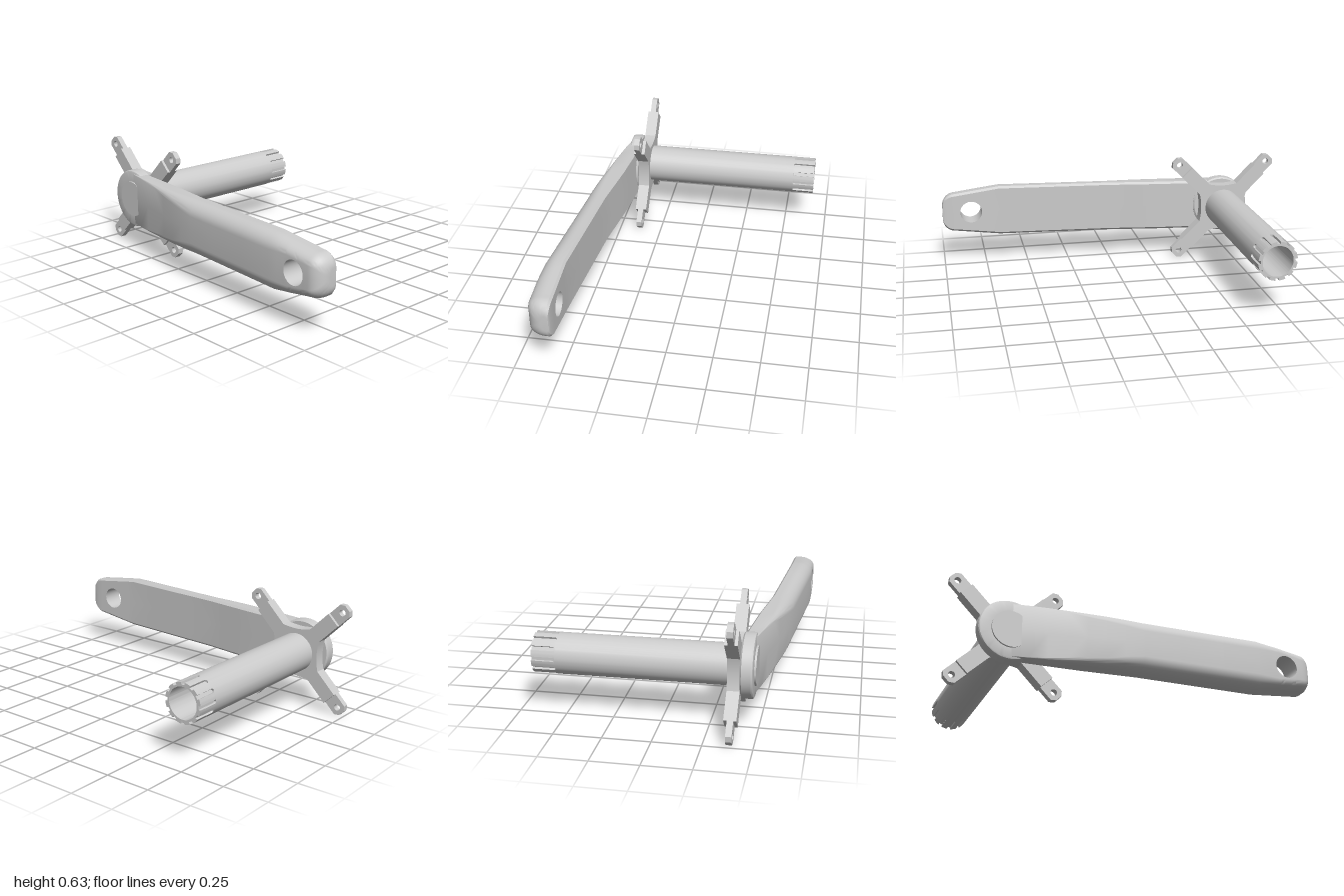
import * as THREE from 'three';
import { toCreasedNormals } from 'three/addons/utils/BufferGeometryUtils.js';

const material = new THREE.MeshStandardMaterial({ color: 0xcccccc });
const AXIS = { x: -0.69, y: 0.3125 };
const HOLE = { x: 0.83, r: 0.065 };

// Piecewise linear lookup through [x, value] pairs
function lerpTable(table, x) {
  for (let i = 1; i < table.length; i++) {
    const [x0, v0] = table[i - 1], [x1, v1] = table[i];
    if (x <= x1) return v0 + (v1 - v0) * (x - x0) / (x1 - x0);
  }
  return table[table.length - 1][1];
}

// Skin a list of equal-length cross-sections
function loft(sections, flip = false) {
  const pos = [];
  const tri = (a, b, c) => {
    if (new THREE.Triangle(a, b, c).getArea() < 1e-9) return;
    for (const p of flip ? [a, c, b] : [a, b, c]) pos.push(p.x, p.y, p.z);
  };
  for (let i = 0; i < sections.length - 1; i++) {
    const s = sections[i], t = sections[i + 1];
    for (let j = 0; j < s.length - 1; j++) {
      tri(s[j], t[j], s[j + 1]);
      tri(t[j], t[j + 1], s[j + 1]);
    }
  }
  const geo = new THREE.BufferGeometry();
  geo.setAttribute('position', new THREE.Float32BufferAttribute(pos, 3));
  return toCreasedNormals(geo, 0.5);
}

function mesh(name, geo, mat = material) {
  const m = new THREE.Mesh(geo, mat);
  m.name = name;
  return m;
}

// Upper or lower half of one crank section: front face, fillet, edge, back face
function armSection(x, side) {
  const t = Math.max(0, (x - 0.925) / 0.075);
  const e = Math.sqrt(Math.max(0, 1 - t * t));
  const H = t > 0 ? 0.045 + 0.07 * e : lerpTable([[-0.69, 0.15], [0.66, 0.15], [0.925, 0.115]], x);
  const zf = t > 0 ? 0.585 + 0.075 * e
    : lerpTable([[-0.69, 0.473], [-0.6, 0.492], [-0.2, 0.575], [-0.1, 0.592], [0, 0.605], [0.66, 0.66], [1, 0.66]], x);
  const zb = t > 0 ? 0.545 - 0.01 * e
    : lerpTable([[-0.69, 0.412], [-0.6, 0.414], [-0.3, 0.444], [0, 0.485], [0.66, 0.535], [1, 0.535]], x);
  const h = Math.sqrt(Math.max(0, HOLE.r ** 2 - (x - HOLE.x) ** 2));
  const grow = THREE.MathUtils.clamp((x + 0.6) / 0.6, 0.05, 1) ** 1.2;
  const ry = Math.min(grow * lerpTable([[-1, 0.075], [0.66, 0.075], [0.78, 0.055], [1, 0.055]], x), H * 0.75);
  const rz = Math.min(grow * 0.08, (zf - zb) * 0.65);
  const pts = [[h, zf]];
  for (let k = 0; k <= 10; k++) {
    const a = k / 10 * Math.PI / 2;
    pts.push([H - ry + ry * Math.sin(a), zf - rz + rz * Math.cos(a)]);
  }
  pts.push([H, zb + 0.012], [H - 0.012, zb], [h, zb]);
  return pts.map(([y, z]) => new THREE.Vector3(x, AXIS.y + side * y, z));
}

function crankArm() {
  const g = new THREE.Group();
  g.name = 'crankArm';
  const xs = [-0.69, -0.6, -0.5, -0.4, -0.3, -0.2, -0.1, 0, 0.2, 0.45, 0.66, 0.72];
  for (let i = 0; i <= 20; i++) xs.push(HOLE.x - HOLE.r * Math.cos(i / 20 * Math.PI));
  for (let i = 0; i <= 10; i++) xs.push(0.925 + 0.075 * Math.sin(i / 10 * Math.PI / 2));
  for (const side of [1, -1]) {
    const sections = xs.map((x) => armSection(x, side));
    // flat tip closes on the centre line
    sections.push(sections[sections.length - 1].map((p) => new THREE.Vector3(p.x, AXIS.y, p.z)));
    g.add(mesh(side > 0 ? 'armUpperHalf' : 'armLowerHalf', loft(sections, side < 0)));
  }
  // Wall of the pedal hole, matching the sloped faces
  const wall = new THREE.CylinderGeometry(HOLE.r, HOLE.r, 0.125, 40, 1, true);
  wall.rotateX(Math.PI / 2).translate(HOLE.x, AXIS.y, 0.5975);
  const inside = material.clone();
  inside.side = THREE.DoubleSide;
  g.add(mesh('pedalHole', wall, inside));
  return g;
}

// Hollow axle with twelve round-ended spline grooves
function axle() {
  const R = 0.108, bore = 0.085, depth = 0.012, count = 12, W = 0.1;
  const ring = (z, w, r = R, d = depth) => {
    const pts = [];
    for (let k = 0; k < count; k++) {
      const c = k / count * Math.PI * 2, step = Math.PI * 2 / count;
      const add = (a, rad) => pts.push(new THREE.Vector3(rad * Math.cos(a), rad * Math.sin(a), z));
      add(c - w, r);
      add(c - w, r - d);
      add(c + w, r - d);
      add(c + w, r);
      for (let j = 1; j <= 4; j++) add(c + w + (step - 2 * w) * j / 5, r);
    }
    pts.push(pts[0].clone());
    return pts;
  };
  const sections = [ring(0.42, 0, R, 0), ring(-0.54, 0, R, 0)];
  for (let i = 0; i <= 6; i++) {
    const a = i / 6 * Math.PI / 2;
    sections.push(ring(-0.54 - 0.011 * (1 - Math.cos(a)), W * Math.sin(a)));
  }
  sections.push(ring(-0.665, W), ring(-0.665, W, bore, 0), ring(0.4, W, bore, 0), ring(0.4, W, 0, 0));
  return mesh('axle', loft(sections));
}

// Four-armed spider with a curved web between arms
function spider() {
  const g = new THREE.Group();
  g.name = 'spider';
  const w = 0.0425, shape = new THREE.Shape();
  const at = (ang, u, v) => [u * Math.cos(ang) - v * Math.sin(ang), u * Math.sin(ang) + v * Math.cos(ang)];
  for (let i = 0; i < 4; i++) {
    const a = Math.PI / 4 + i * Math.PI / 2;
    if (i === 0) shape.moveTo(...at(a, 0.163, -w));
    shape.lineTo(...at(a, 0.318, -w));
    shape.lineTo(...at(a, 0.318, w));
    shape.lineTo(...at(a, 0.163, w));
    const mid = a + Math.PI / 4;
    shape.quadraticCurveTo(...at(mid, 0.125, 0), ...at(a + Math.PI / 2, 0.163, -w));
  }
  const body = new THREE.ExtrudeGeometry(shape, { depth: 0.065, bevelEnabled: false, curveSegments: 12 });
  g.add(mesh('spiderBody', toCreasedNormals(body.translate(0, 0, 0.346), 0.5)));

  // Thin chamfered bolt tabs
  const tab = new THREE.Shape([[0.316, -w], [0.4, -w], [0.42, -0.02], [0.42, 0.02], [0.4, w], [0.316, w]]
    .map(([x, y]) => new THREE.Vector2(x, y)));
  tab.holes.push(new THREE.Path().absarc(0.381, 0, 0.018, 0, Math.PI * 2, true));
  const tabGeo = toCreasedNormals(
    new THREE.ExtrudeGeometry(tab, { depth: 0.032, bevelEnabled: false, curveSegments: 16 }), 0.5);
  for (let i = 0; i < 4; i++) {
    const m = mesh('boltTab', tabGeo);
    m.rotation.z = Math.PI / 4 + i * Math.PI / 2;
    m.position.z = 0.364;
    g.add(m);
  }
  return g;
}

// Round hub with a shallow raised cap
function hub() {
  const profile = [[0, 0.41], [0.16, 0.41], [0.168, 0.418], [0.168, 0.465], [0.164, 0.472], [0.157, 0.475],
    [0.102, 0.475], [0.102, 0.485], [0, 0.485]].map(([r, z]) => new THREE.Vector2(r, z));
  const geo = new THREE.LatheGeometry(profile, 64).rotateX(Math.PI / 2);
  return mesh('hub', toCreasedNormals(geo, 0.5));
}

export function createModel() {
  const model = new THREE.Group();
  model.name = 'crankset';
  const spindle = new THREE.Group();
  spindle.name = 'spindleAssembly';
  spindle.position.set(AXIS.x, AXIS.y, 0);
  spindle.add(axle(), spider(), hub());
  model.add(spindle, crankArm());
  return model;
}
